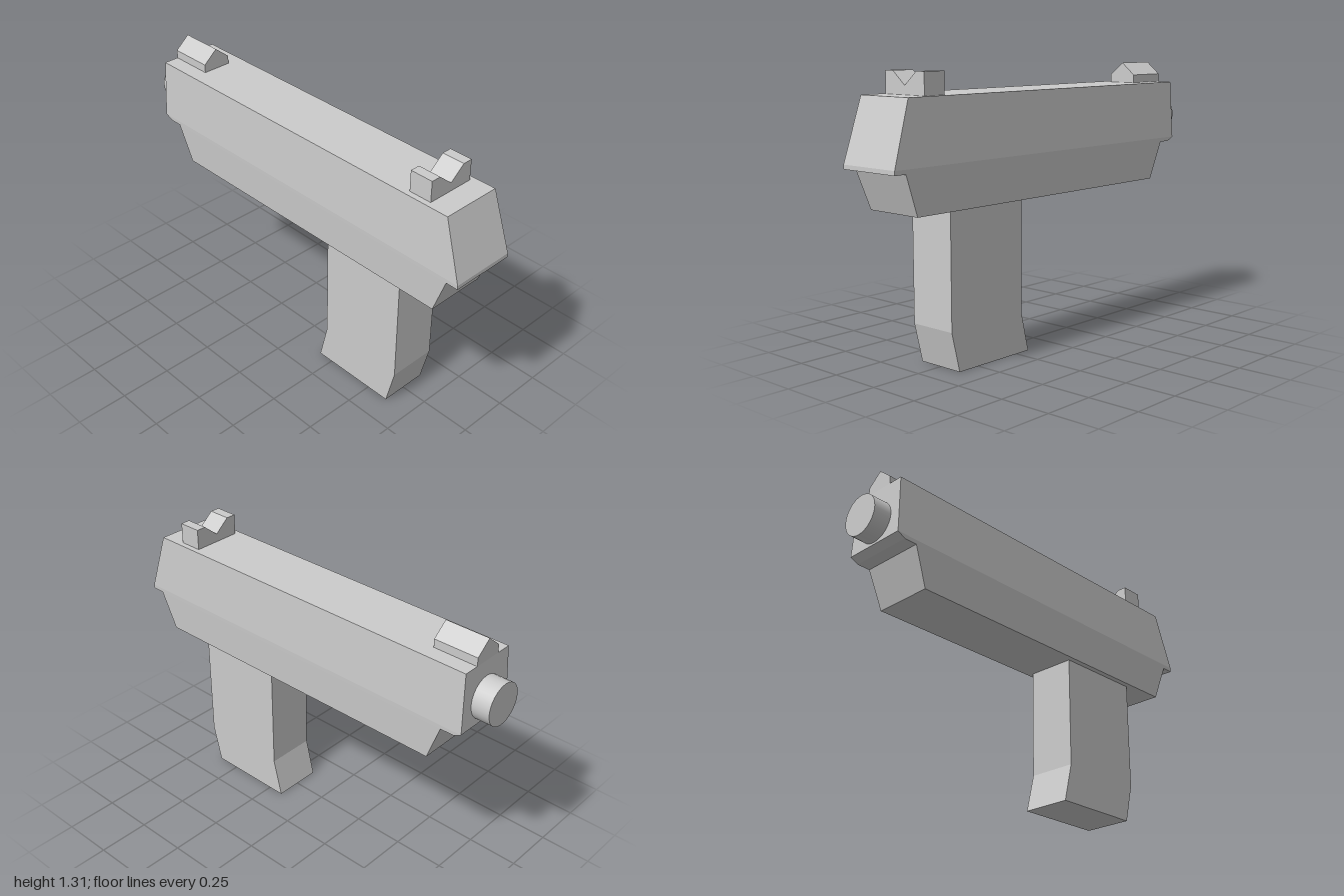
import * as THREE from 'three';

const grey = new THREE.MeshStandardMaterial({ color: 0xcccccc });
const grey2 = new THREE.MeshStandardMaterial({ color: 0xcccccc, flatShading: true });

// Stacks rectangles, bottom to top, into a closed faceted solid.
// Each row is [y, half width, back z, front z].
function loft(rows) {
  const rings = rows.map(([y, w, z0, z1]) => [[-w, y, z1], [w, y, z1], [w, y, z0], [-w, y, z0]]);
  const pos = [];
  const quad = (a, b, c, d) => pos.push(...a, ...b, ...c, ...a, ...c, ...d);
  for (let i = 0; i < rings.length - 1; i++) {
    for (let j = 0; j < 4; j++) {
      const k = (j + 1) % 4;
      quad(rings[i][j], rings[i][k], rings[i + 1][k], rings[i + 1][j]);
    }
  }
  quad(...rings[0].slice().reverse());
  quad(...rings[rings.length - 1]);
  const g = new THREE.BufferGeometry();
  g.setAttribute('position', new THREE.Float32BufferAttribute(pos, 3));
  g.computeVertexNormals();
  return g;
}

// Extrudes an x-y profile from z0 to z1.
function prism(points, z0, z1) {
  const shape = new THREE.Shape(points.map(([x, y]) => new THREE.Vector2(x, y)));
  return new THREE.ExtrudeGeometry(shape, { depth: z1 - z0, bevelEnabled: false }).translate(0, 0, z0);
}

export function createModel() {
  const group = new THREE.Group();
  const add = (name, geometry, material = grey2) => {
    const mesh = new THREE.Mesh(geometry, material);
    mesh.name = name;
    group.add(mesh);
  };

  // Body: narrow lower frame stepping out to the sloped upper housing
  add('body', loft([
    [0.72, 0.147, -0.74, 0.87],
    [0.905, 0.159, -0.81, 0.94],
    [0.905, 0.159, -0.875, 1.0],
    [0.925, 0.16, -0.915, 1.0],
    [1.21, 0.147, -0.905, 0.91],
  ]));

  // Grip with a kicked-back foot
  add('grip', loft([
    [0, 0.12, 0.17, 0.615],
    [0.185, 0.12, 0.215, 0.66],
    [0.72, 0.12, 0.215, 0.66],
  ]));

  // Notched sight near the front (+z) end
  add('notchSight', prism([
    [-0.12, 1.21], [0.12, 1.21], [0.12, 1.31], [0.072, 1.31],
    [0, 1.25], [-0.072, 1.31], [-0.12, 1.31],
  ], 0.685, 0.798));

  // Ridge sight near the barrel end
  add('ridgeSight', prism([
    [-0.072, 1.21], [0.072, 1.21], [0.072, 1.25], [0, 1.31], [-0.072, 1.25],
  ], -0.905, -0.687));

  // Short round barrel
  add('barrel', new THREE.CylinderGeometry(0.1, 0.1, 0.12, 32)
    .rotateX(Math.PI / 2).translate(0, 1.035, -0.94), grey);

  return group;
}
